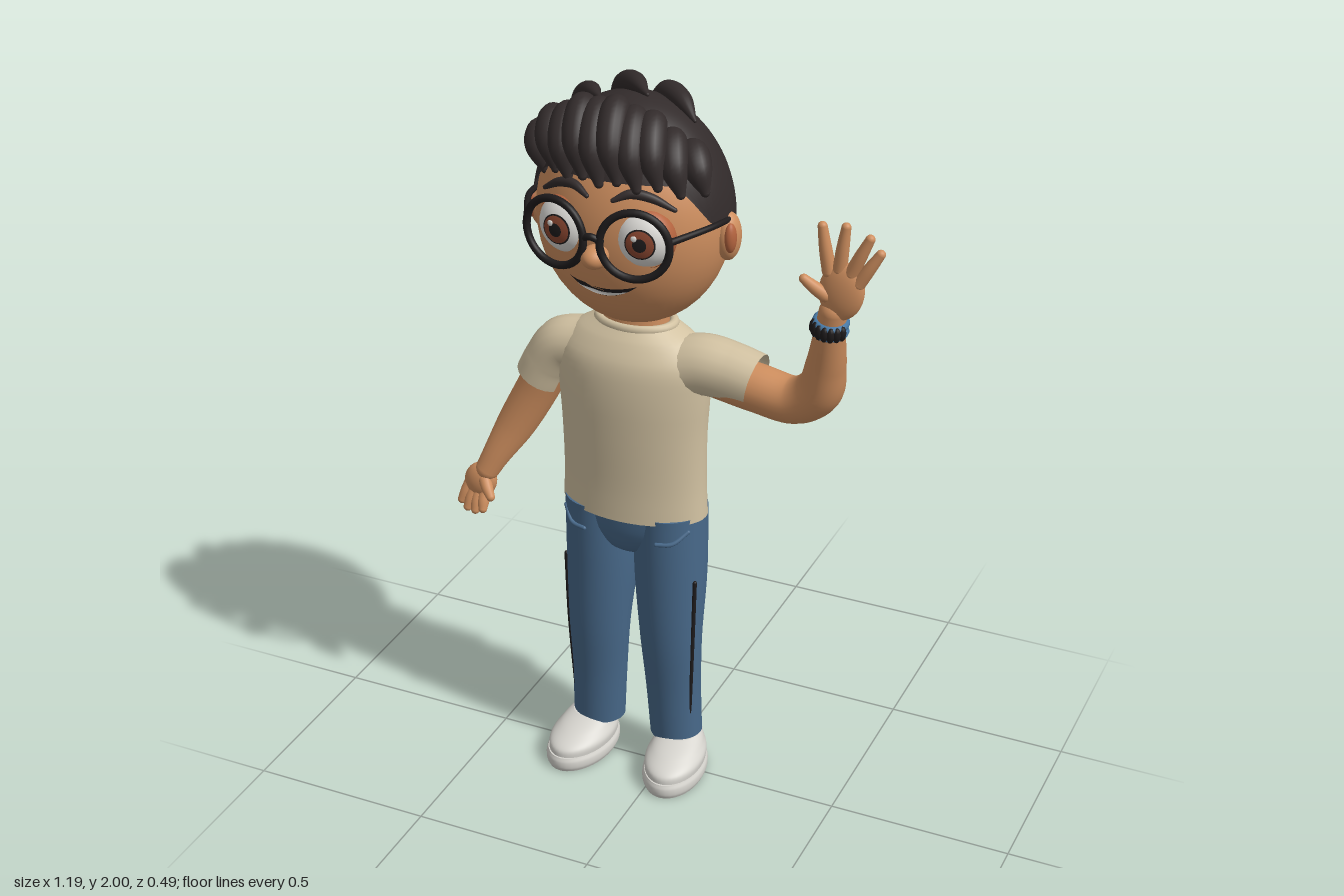
import * as THREE from 'three';
import { mergeVertices, mergeGeometries } from 'three/addons/utils/BufferGeometryUtils.js';

const V = (x, y, z) => new THREE.Vector3(x, y, z);
const MID = -0.097; // x of the body's centre line
const HEAD = { y: 1.645, z: -0.03, rx: 0.254, ry: 0.29, rz: 0.21 };

const colours = {
  skin: 0xcf8f5f, blush: 0xb4643f, hair: 0x322b2b, shirt: 0xd2c2a2, denim: 0x48698a,
  shoe: 0xd6d4ce, eyeWhite: 0xdedcd8, iris: 0x8a4630, black: 0x1e1b1c, band: 0x4677a3,
};
const M = {};
for (const [name, color] of Object.entries(colours)) {
  M[name] = new THREE.MeshStandardMaterial({ color });
  M[name].name = name;
}
M.shirt.side = M.hair.side = THREE.DoubleSide;

function add(parent, name, geo, mat, x = 0, y = 0, z = 0) {
  const mesh = new THREE.Mesh(geo, mat);
  mesh.name = name;
  mesh.position.set(x, y, z);
  parent.add(mesh);
  return mesh;
}

const ball = (rx, ry, rz, n = 32) => new THREE.SphereGeometry(1, n, n / 2).scale(rx, ry, rz);

// Round tapered limb through points [x, y, z, radius]
function limb(pts, round = true, segs = 24, sides = 18) {
  const path = new THREE.CatmullRomCurve3(pts.map(p => V(p[0], p[1], p[2])));
  const radius = new THREE.CatmullRomCurve3(pts.map((p, i) => V(p[3], i, 0)));
  const tube = new THREE.TubeGeometry(path, segs, 1, sides);
  const pos = tube.attributes.position, nor = tube.attributes.normal;
  for (let i = 0; i < pos.count; i++) {
    const u = Math.floor(i / (sides + 1)) / segs;
    const c = path.getPointAt(u), r = radius.getPoint(path.getUtoTmapping(u)).x;
    pos.setXYZ(i, c.x + nor.getX(i) * r, c.y + nor.getY(i) * r, c.z + nor.getZ(i) * r);
  }
  if (!round) return tube;
  const ends = [pts[0], pts[pts.length - 1]].map(p =>
    new THREE.SphereGeometry(p[3], sides, 10).translate(p[0], p[1], p[2]));
  return mergeGeometries([tube, ...ends]);
}

// Closed body from elliptical sections [x, y, z, rx, rz], bottom to top
function loft(secs, steps = 24) {
  const centre = new THREE.CatmullRomCurve3(secs.map(s => V(s[0], s[1], s[2])));
  const size = new THREE.CatmullRomCurve3(secs.map(s => V(s[3], s[1], s[4])));
  let geo = new THREE.CylinderGeometry(1, 1, 1, 40, steps);
  geo.deleteAttribute('uv');
  geo = mergeVertices(geo);
  const pos = geo.attributes.position;
  for (let i = 0; i < pos.count; i++) {
    const t = THREE.MathUtils.clamp(pos.getY(i) + 0.5, 0, 1);
    const c = centre.getPoint(t), r = size.getPoint(t);
    pos.setXYZ(i, c.x + pos.getX(i) * r.x, c.y, c.z + pos.getZ(i) * r.z);
  }
  geo.computeVertexNormals();
  return geo;
}

// Front surface of the head at a point of the face
const faceZ = (x, y) => HEAD.z + HEAD.rz *
  Math.sqrt(Math.max(0, 1 - (x / HEAD.rx) ** 2 - ((y - HEAD.y) / HEAD.ry) ** 2));

// Crescent laid on the face
function crescent(w, yEnd, yTop, yLow, lift) {
  const s = new THREE.Shape().moveTo(-w, yEnd);
  s.quadraticCurveTo(0, yLow, w, yEnd).quadraticCurveTo(0, yTop, -w, yEnd);
  const geo = new THREE.ShapeGeometry(s, 24), p = geo.attributes.position;
  for (let i = 0; i < p.count; i++) p.setZ(i, faceZ(p.getX(i), p.getY(i)) + lift);
  geo.computeVertexNormals();
  return geo;
}

// Hair shell whose lower edge rises from the nape to the forehead
function hairCap() {
  const geo = new THREE.SphereGeometry(1, 64, 24, 0, Math.PI * 2, 0, Math.PI / 2);
  const p = geo.attributes.position;
  for (let i = 0; i < p.count; i++) {
    const phi = Math.atan2(p.getX(i), p.getZ(i));
    const f = Math.acos(THREE.MathUtils.clamp(p.getY(i), -1, 1)) / (Math.PI / 2);
    const c = Math.cos(phi);
    const edge = 1.665 + 0.02 * c + 0.115 * THREE.MathUtils.smoothstep(c, 0.25, 0.75);
    const th = f * Math.acos((edge - 1.65) / 0.31);
    p.setXYZ(i, 0.262 * Math.sin(th) * Math.sin(phi), 1.65 + 0.31 * Math.cos(th),
      HEAD.z + 0.218 * Math.sin(th) * c);
  }
  geo.computeVertexNormals();
  return geo;
}

function buildHead(g) {
  add(g, 'head', ball(HEAD.rx, HEAD.ry, HEAD.rz, 48), M.skin, 0, HEAD.y, HEAD.z);
  add(g, 'nose', ball(0.034, 0.03, 0.04), M.skin, 0, 1.615, 0.198);
  add(g, 'mouth', crescent(0.092, 1.532, 1.5, 1.455, 0.005), M.black);
  add(g, 'teeth', crescent(0.07, 1.516, 1.497, 1.476, 0.008), M.eyeWhite);
  for (const s of [-1, 1]) {
    add(g, 'ear', ball(0.032, 0.064, 0.04), M.skin, s * 0.256, 1.625, -0.03);
    add(g, 'innerEar', ball(0.016, 0.04, 0.02), M.blush, s * 0.27, 1.63, -0.008);

    // Eye as nested caps facing forward
    const eye = new THREE.Group();
    eye.name = 'eye';
    eye.position.set(s * 0.105, 1.66, 0.132);
    eye.rotation.y = s * 0.15;
    g.add(eye);
    const cap = (name, mat, k, from, to) => add(eye, name, new THREE.SphereGeometry(k, 32, 12, 0, Math.PI * 2, from, to - from)
      .rotateX(Math.PI / 2).scale(0.076, 0.076, 0.055), mat);
    cap('eyeball', M.eyeWhite, 1, 0, Math.PI);
    cap('eyelid', M.blush, 1.04, 1.15, 1.9);
    cap('irisOutline', M.black, 1.01, 0, 0.54);
    cap('iris', M.iris, 1.02, 0, 0.48);
    cap('pupil', M.black, 1.03, 0, 0.23);
    add(eye, 'glint', ball(0.008, 0.008, 0.003, 12), M.eyeWhite, -0.014, 0.016, 0.055);

    const brow = [[0.035, 1.757, 0.006], [0.075, 1.775, 0.012], [0.12, 1.768, 0.012], [0.175, 1.735, 0.006]];
    add(g, 'eyebrow', limb(brow.map(([x, y, r]) => [s * x, y, faceZ(x, y) + 0.005, r])), M.hair);

    const rim = add(g, 'glassesRim', new THREE.TorusGeometry(0.087, 0.01, 12, 40), M.black, s * 0.107, 1.663, 0.2);
    rim.rotation.y = s * 0.2;
    add(g, 'glassesTemple', limb([[s * 0.192, 1.68, 0.18, 0.009], [s * 0.248, 1.682, 0.06, 0.008],
      [s * 0.262, 1.675, -0.02, 0.008]]), M.black);
  }
  add(g, 'glassesBridge', limb([[-0.024, 1.668, 0.216, 0.009], [0, 1.678, 0.222, 0.009], [0.024, 1.668, 0.216, 0.009]]), M.black);

  // Hair shell, swept fringe and crown locks
  add(g, 'hairCap', hairCap(), M.hair);
  for (let i = 0; i < 10; i++) {
    const a = i / 4.5 - 1, q = a * a, j = i % 2 ? 0.012 : 0;
    add(g, 'fringeLock', limb([
      [a * 0.2 - 0.03, 1.925 - 0.09 * q, 0.02 - 0.01 * q, 0.018],
      [a * 0.205 - 0.01, 1.952 - 0.1 * q + j, 0.1 - 0.05 * q, 0.036],
      [a * 0.212 + 0.008, 1.885 - 0.06 * q + j, 0.17 - 0.09 * q, 0.036],
      [a * 0.215 + 0.022, 1.795 - 0.03 * q + j, 0.168 - 0.095 * q, 0.012]]), M.hair);
  }
  for (const [x0, z0, x1, z1] of [[-0.193, -0.09, -0.073, 0.01], [-0.103, -0.13, 0.042, -0.02], [0.007, -0.14, 0.157, -0.045]]) {
    const at = (t, lift, r) => {
      const x = x0 + (x1 - x0) * t, z = z0 + (z1 - z0) * t;
      return [x, 1.65 + 0.31 * Math.sqrt(1 - (x / 0.262) ** 2 - ((z - HEAD.z) / 0.218) ** 2) + lift, z, r];
    };
    add(g, 'crownLock', limb([at(0, 0, 0.01), at(0.35, 0.016, 0.026), at(0.7, 0.018, 0.024), at(1, 0.008, 0.005)]), M.hair);
  }
}

function buildBody(g) {
  add(g, 'neck', new THREE.CylinderGeometry(0.085, 0.095, 0.12, 32).scale(1, 1, 0.72), M.skin, 0, 1.34, -0.04);
  add(g, 'shirt', loft([[0, 0.808, -0.027, 0.204, 0.117], [0, 0.9, -0.027, 0.2, 0.117], [0, 1.05, -0.024, 0.202, 0.12],
    [0, 1.18, -0.024, 0.21, 0.122], [0, 1.26, -0.027, 0.208, 0.115], [0, 1.315, -0.035, 0.165, 0.095],
    [0, 1.345, -0.04, 0.112, 0.076]]), M.shirt);
  add(g, 'collar', new THREE.TorusGeometry(0.102, 0.013, 12, 40).rotateX(Math.PI / 2).scale(1, 1, 0.7), M.shirt, 0, 1.345, -0.04);
  add(g, 'jeansSeat', loft([[0, 0.66, -0.035, 0.02, 0.03], [0, 0.7, -0.035, 0.1, 0.085], [0, 0.76, -0.033, 0.185, 0.105],
    [0, 0.82, -0.03, 0.198, 0.11]]), M.denim);
  for (const s of [-1, 1]) {
    add(g, 'jeansLeg', loft([[s * 0.118, 0.095, -0.033, 0.073, 0.067], [s * 0.112, 0.25, -0.027, 0.077, 0.07],
      [s * 0.107, 0.42, -0.02, 0.086, 0.078], [s * 0.101, 0.62, -0.033, 0.098, 0.1], [s * 0.1, 0.82, -0.033, 0.098, 0.107]]), M.denim);
    add(g, 'jeansSeam', limb([[s * 0.19, 0.62, 0.012, 0.006], [s * 0.184, 0.42, 0.012, 0.006], [s * 0.172, 0.15, 0.002, 0.005]]), M.black);
    add(g, 'pocketEdge', limb([[s * 0.105, 0.752, 0.073, 0.006], [s * 0.145, 0.757, 0.063, 0.006], [s * 0.178, 0.785, 0.03, 0.006]]), M.denim);
    add(g, 'ankle', new THREE.CylinderGeometry(0.045, 0.045, 0.08, 24), M.skin, s * 0.122, 0.1, -0.04);

    const shoe = new THREE.Group();
    shoe.name = 'shoe';
    shoe.position.set(s * 0.138, 0, 0);
    shoe.rotation.y = s * 0.12;
    g.add(shoe);
    add(shoe, 'sole', loft([[0, 0, 0.028, 0.08, 0.132], [0, 0.012, 0.028, 0.085, 0.137], [0, 0.03, 0.028, 0.085, 0.137],
      [0, 0.042, 0.028, 0.08, 0.132]]), M.shoe);
    add(shoe, 'upper', loft([[0, 0.036, 0.026, 0.079, 0.13], [0, 0.062, 0.022, 0.081, 0.127], [0, 0.085, 0.002, 0.07, 0.102],
      [0, 0.108, -0.032, 0.056, 0.066]]), M.shoe);
    for (const z of [0.035, 0.06])
      add(shoe, 'lace', limb([[-0.035, 0.088 - z * 0.2, z, 0.006], [0, 0.101 - z * 0.2, z, 0.006], [0.035, 0.088 - z * 0.2, z, 0.006]]), M.shoe);
  }
}

function buildArms(g) {
  // Lowered right arm
  add(g, 'rightSleeve', limb([[-0.23, 1.25, -0.03, 0.075], [-0.3, 1.235, -0.03, 0.073], [-0.345, 1.18, -0.03, 0.068],
    [-0.372, 1.128, -0.028, 0.067]], false), M.shirt);
  add(g, 'rightArm', limb([[-0.335, 1.18, -0.03, 0.058], [-0.385, 1.08, -0.025, 0.057], [-0.44, 0.975, -0.01, 0.052],
    [-0.492, 0.88, 0.012, 0.038], [-0.515, 0.835, 0.022, 0.033]]), M.skin);
  add(g, 'rightPalm', ball(0.046, 0.055, 0.03), M.skin, -0.535, 0.798, 0.026).rotation.z = -0.4;
  const rightFingers = [[-0.565, 0.785, 0.028, -0.587, 0.733, 0.042], [-0.552, 0.77, 0.032, -0.567, 0.717, 0.048],
    [-0.538, 0.763, 0.034, -0.543, 0.714, 0.05], [-0.52, 0.765, 0.034, -0.52, 0.722, 0.05],
    [-0.515, 0.81, 0.04, -0.49, 0.77, 0.058]];

  // Raised left arm
  add(g, 'leftSleeve', limb([[0.03, 1.24, -0.03, 0.08], [0.1, 1.255, -0.033, 0.08], [0.17, 1.248, -0.035, 0.077],
    [0.24, 1.235, -0.033, 0.074]], false), M.shirt);
  add(g, 'leftArm', limb([[0.15, 1.235, -0.03, 0.063], [0.25, 1.222, -0.025, 0.063], [0.355, 1.217, -0.015, 0.061],
    [0.422, 1.268, 0, 0.06], [0.443, 1.35, 0.015, 0.051], [0.456, 1.445, 0.032, 0.04], [0.465, 1.51, 0.04, 0.035]], true, 48, 24), M.skin);
  add(g, 'leftPalm', ball(0.058, 0.078, 0.027), M.skin, 0.488, 1.572, 0.048).rotation.z = -0.15;
  const leftFingers = [[0.455, 1.62, 0.05, 0.435, 1.735, 0.052], [0.482, 1.63, 0.05, 0.495, 1.742, 0.052],
    [0.512, 1.625, 0.05, 0.555, 1.72, 0.048], [0.53, 1.6, 0.048, 0.58, 1.682, 0.04],
    [0.45, 1.56, 0.06, 0.4, 1.6, 0.075]];
  for (const [name, list] of [['rightFinger', rightFingers], ['leftFinger', leftFingers]])
    for (const [a, b, c, d, e, f] of list)
      add(g, name, limb([[a, b, c, 0.018], [(a + d) / 2, (b + e) / 2, (c + f) / 2 + 0.002, 0.016], [d, e, f, 0.012]]), M.skin);

  // Wristband with dark beads across the front
  const wrist = new THREE.Group();
  wrist.name = 'wristband';
  wrist.position.set(0.458, 1.468, 0.035);
  wrist.rotation.set(0.15, 0, -0.1);
  g.add(wrist);
  for (const y of [-0.012, 0.012])
    add(wrist, 'band', new THREE.TorusGeometry(0.036, 0.011, 10, 32).rotateX(Math.PI / 2), M.band, 0, y);
  for (let i = 0; i < 7; i++) {
    const a = (i - 3) * 0.36;
    add(wrist, 'bead', ball(0.011, 0.022, 0.011, 12), M.black, 0.042 * Math.sin(a), 0, 0.042 * Math.cos(a));
  }
}

export function createModel() {
  const model = new THREE.Group();
  model.name = 'wavingFigure';
  for (const [name, build, x] of [['headGroup', buildHead, MID], ['bodyGroup', buildBody, MID], ['arms', buildArms, 0]]) {
    const g = new THREE.Group();
    g.name = name;
    g.position.x = x;
    build(g);
    model.add(g);
  }
  return model;
}
